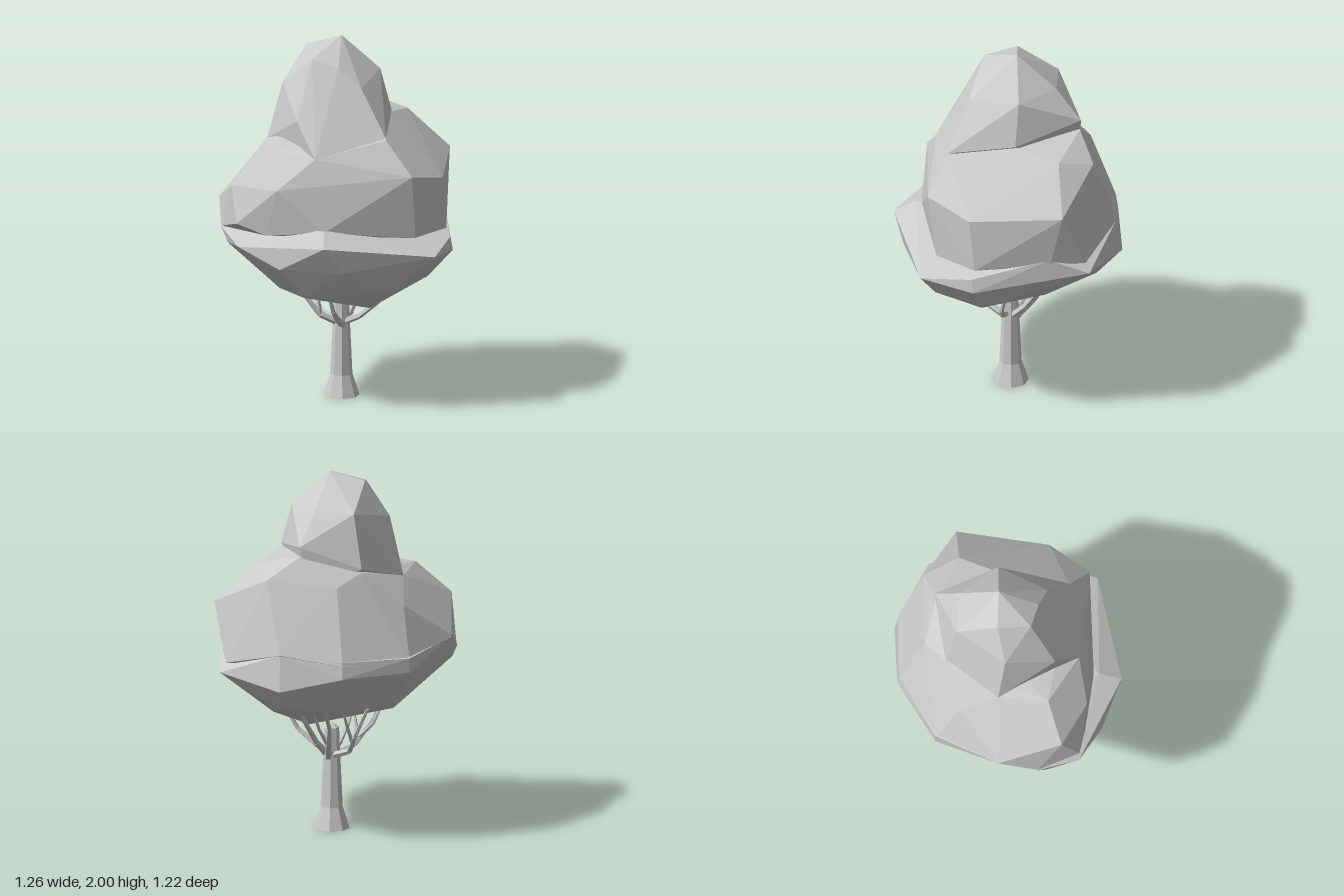
import * as THREE from 'three';
import { ConvexGeometry } from 'three/addons/geometries/ConvexGeometry.js';

const material = new THREE.MeshStandardMaterial({ color: 0xcccccc, flatShading: true });

// Corners of the faceted foliage masses, each wrapped in a convex skin
const CROWN = [
  // peak
  [0.03, 2, -0.05], [-0.16, 1.95, -0.06], [-0.14, 1.91, 0.12], [0, 1.87, 0.165],
  [0.12, 1.77, 0.215], [0.24, 1.81, -0.05], [0.09, 1.82, -0.26], [-0.13, 1.82, -0.28],
  // flanks
  [-0.29, 1.75, -0.02], [0.3, 1.58, -0.03], [0.15, 1.655, -0.39], [-0.18, 1.53, -0.34],
  [-0.23, 1.6, 0.25],
  // hem
  [0.245, 1.52, 0.335], [-0.14, 1.42, 0.385], [-0.37, 1.43, -0.06], [0.1, 1.4, -0.38],
];
const SHOULDER = [
  // upper edge
  [0.4, 1.53, -0.26], [0.32, 1.48, -0.45], [0.245, 1.51, 0.335], [-0.14, 1.42, 0.38],
  [-0.4, 1.44, 0.21], [-0.37, 1.43, -0.06], [-0.06, 1.45, -0.45], [0.29, 1.57, -0.03],
  [0.15, 1.6, -0.385], [-0.18, 1.51, -0.34],
  // overhanging ledge
  [0.525, 1.385, -0.185], [0.63, 1.31, -0.27], [0.56, 1.27, 0.23], [0.38, 1.33, 0.445],
  [-0.35, 1.26, 0.42], [-0.585, 1.26, 0.28], [-0.4, 1.32, -0.27],
  // lower edge
  [-0.63, 1.11, -0.06], [-0.63, 1, 0.15], [-0.565, 1.07, 0.375], [-0.405, 1.01, 0.41],
  [-0.1, 1.03, 0.46], [0.4, 0.98, 0.4], [0.58, 0.98, 0.2], [0.59, 1.02, -0.21],
  [0.55, 1, -0.4], [0.23, 1.1, -0.59], [-0.11, 1.05, -0.59], [-0.45, 1.03, -0.4],
];
const SKIRT = [
  // underside
  [0.17, 0.525, 0.15], [0.26, 0.675, 0.4], [-0.2, 0.66, 0.42], [-0.32, 0.66, 0.2],
  [-0.32, 0.7, -0.1], [-0.1, 0.72, -0.32], [0.25, 0.77, -0.47], [0.32, 0.68, -0.19],
  [0.485, 0.7, 0.15],
  // widest line
  [0, 0.83, 0.56], [-0.34, 0.84, 0.5], [-0.11, 0.98, 0.61], [0.5, 0.895, 0.49],
  [0.615, 0.86, 0.21], [0.6, 0.935, 0.22], [0.58, 0.95, -0.42], [0.23, 0.9, -0.61],
  [-0.11, 0.98, -0.6], [-0.45, 0.98, -0.4], [-0.6, 0.92, 0.2], [-0.635, 1, 0.15],
  [-0.555, 0.94, 0.375],
  // top edge
  [-0.1, 1.04, 0.49], [0.59, 1.04, -0.2], [-0.63, 1.1, -0.06], [-0.45, 1.06, -0.4],
  [-0.11, 1.07, -0.585], [0.23, 1.1, -0.585],
];

function makeFoliage(name, corners) {
  const points = corners.map((corner) => new THREE.Vector3(...corner));
  const mesh = new THREE.Mesh(new ConvexGeometry(points), material);
  mesh.name = name;
  return mesh;
}

// Tapered limb running through a short list of points
function makeLimb(name, points, startRadius, endRadius) {
  const limb = new THREE.Group();
  limb.name = name;
  const count = points.length - 1;
  for (let i = 0; i < count; i++) {
    const a = new THREE.Vector3(...points[i]);
    const b = new THREE.Vector3(...points[i + 1]);
    const r0 = THREE.MathUtils.lerp(startRadius, endRadius, i / count);
    const r1 = THREE.MathUtils.lerp(startRadius, endRadius, (i + 1) / count);
    const direction = b.clone().sub(a);
    const mesh = new THREE.Mesh(new THREE.CylinderGeometry(r1, r0, direction.length(), 5), material);
    mesh.name = name + 'Segment';
    mesh.position.copy(a).add(b).multiplyScalar(0.5);
    mesh.quaternion.setFromUnitVectors(new THREE.Vector3(0, 1, 0), direction.normalize());
    limb.add(mesh);
  }
  return limb;
}

export function createModel() {
  const tree = new THREE.Group();
  tree.name = 'tree';

  const canopy = new THREE.Group();
  canopy.name = 'canopy';
  canopy.add(
    makeFoliage('crownFoliage', CROWN),
    makeFoliage('shoulderFoliage', SHOULDER),
    makeFoliage('skirtFoliage', SKIRT),
  );
  tree.add(canopy);

  // Trunk with a flared foot, open underneath
  const profile = [[0.098, 0], [0.06, 0.12], [0.047, 0.4], [0.04, 0.56], [0, 0.59]];
  const trunk = new THREE.Mesh(
    new THREE.LatheGeometry(profile.map(([r, y]) => new THREE.Vector2(r, y)), 8), material);
  trunk.name = 'trunk';
  trunk.position.set(0.027, 0, -0.015);
  tree.add(trunk);

  // Main branches spreading from the trunk
  const branches = [
    [[0.01, 0.41, 0], [-0.09, 0.46, 0.02], [-0.18, 0.58, 0.02], [-0.25, 0.72, 0.03]],
    [[0.01, 0.41, -0.04], [-0.08, 0.45, -0.1], [-0.12, 0.55, -0.17], [-0.2, 0.73, -0.25]],
    [[0.04, 0.4, -0.05], [0.03, 0.48, -0.13], [0.01, 0.6, -0.23], [0.02, 0.77, -0.38]],
    [[0.06, 0.42, -0.03], [0.1, 0.49, -0.09], [0.16, 0.64, -0.18], [0.2, 0.8, -0.27]],
    [[0.05, 0.42, 0.01], [0.12, 0.45, 0.03], [0.22, 0.53, 0.04], [0.3, 0.68, 0.02]],
    [[0.03, 0.4, 0.02], [0, 0.45, 0.1], [-0.03, 0.52, 0.19], [-0.05, 0.6, 0.24]],
  ];
  for (const path of branches) tree.add(makeLimb('branch', path, 0.02, 0.009));

  // Thin twigs forking off the branches
  const twigs = [
    [[-0.09, 0.46, 0.02], [-0.1, 0.55, 0.04], [-0.08, 0.66, 0.06]],
    [[-0.12, 0.5, 0.02], [-0.2, 0.59, -0.04], [-0.25, 0.7, -0.06]],
    [[-0.1, 0.51, -0.14], [-0.08, 0.62, -0.2], [-0.06, 0.74, -0.26]],
    [[0.03, 0.48, -0.13], [0.07, 0.59, -0.2], [0.1, 0.76, -0.32]],
  ];
  for (const path of twigs) tree.add(makeLimb('twig', path, 0.012, 0.006));

  return tree;
}
